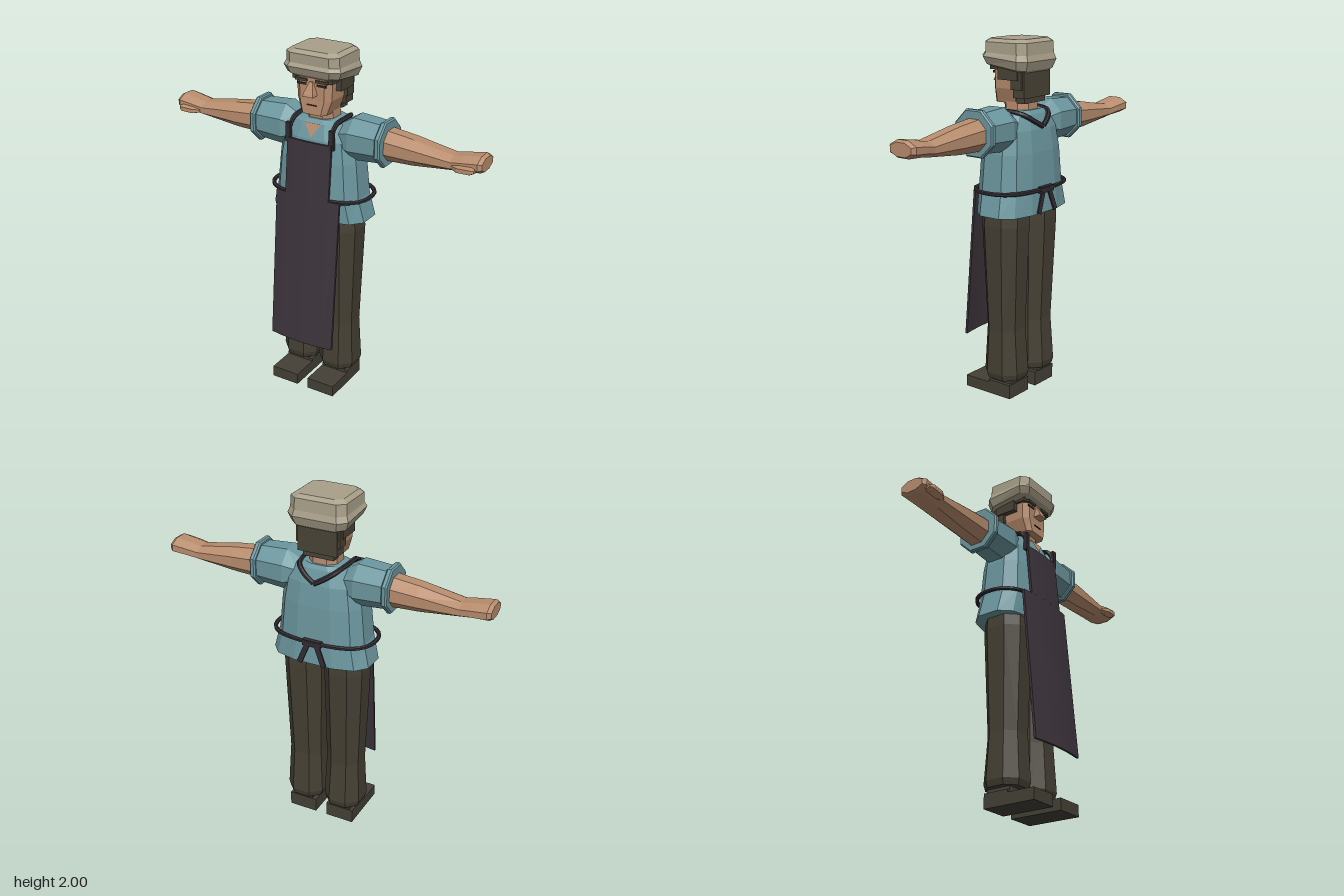
import * as THREE from 'three';

const mat = (name, color) => {
  const m = new THREE.MeshStandardMaterial({ color });
  m.name = name;
  return m;
};

// Faceted normals
function flat(geo) {
  const g = geo.index ? geo.toNonIndexed() : geo;
  g.computeVertexNormals();
  return g;
}

// Copy reflected in x, with the corner order restored
function mirrored(geo) {
  const g = geo.clone().scale(-1, 1, 1);
  const p = g.attributes.position;
  const a = new THREE.Vector3(), b = new THREE.Vector3();
  for (let i = 0; i < p.count; i += 3) {
    a.fromBufferAttribute(p, i);
    b.fromBufferAttribute(p, i + 2);
    p.setXYZ(i, b.x, b.y, b.z);
    p.setXYZ(i + 2, a.x, a.y, a.z);
  }
  g.computeVertexNormals();
  return g;
}

// One cross-section: [along, centre, halfWidth, zFront, zBack, tilt]; power < 1 makes it boxier
function section([t, c, w, zf, zb, tilt = 0], n, power, alongX) {
  const k = Math.cos(Math.PI / n);
  const soft = v => Math.sign(v) * Math.pow(Math.min(1, Math.abs(v) / k), power);
  return Array.from({ length: n }, (_, i) => {
    const a = ((i + 0.5) / n) * Math.PI * 2;
    const u = w * soft(Math.sin(a));
    const z = (zf + zb) / 2 + ((zf - zb) / 2) * soft(Math.cos(a));
    return alongX ? [t, c - u, z] : [c + u, t + tilt * z, z];
  });
}

// Closed skin over a row of cross-sections
function loft(rows, n = 8, power = 1, alongX = false) {
  const pos = rows.flatMap(r => section(r, n, power, alongX).flat());
  const idx = [];
  for (let r = 0; r < rows.length - 1; r++) {
    for (let i = 0; i < n; i++) {
      const j = (i + 1) % n, a = r * n, b = a + n;
      idx.push(a + i, a + j, b + j, a + i, b + j, b + i);
    }
  }
  const top = (rows.length - 1) * n;
  for (let i = 1; i < n - 1; i++) idx.push(0, i + 1, i, top, top + i, top + i + 1);
  const g = new THREE.BufferGeometry();
  g.setAttribute('position', new THREE.Float32BufferAttribute(pos, 3));
  g.setIndex(idx);
  return flat(g);
}

// Box given by its limits
const box = (x0, x1, y0, y1, z0, z1) =>
  flat(new THREE.BoxGeometry(x1 - x0, y1 - y0, z1 - z0).translate((x0 + x1) / 2, (y0 + y1) / 2, (z0 + z1) / 2));

const tube = (pts, r, closed = false, seg = 24) => flat(new THREE.TubeGeometry(
  new THREE.CatmullRomCurve3(pts.map(p => new THREE.Vector3(...p)), closed), seg, r, 6, closed));

// Curved cloth panel leaning from z0 at the bottom to z1 at the top
function panel(halfW, y0, y1, z0, z1) {
  const g = new THREE.BoxGeometry(halfW * 2, y1 - y0, 0.014, 6, 1, 1).translate(0, (y0 + y1) / 2, 0);
  const p = g.attributes.position;
  for (let i = 0; i < p.count; i++) {
    const t = (p.getY(i) - y0) / (y1 - y0), x = p.getX(i);
    p.setZ(i, p.getZ(i) + z0 + (z1 - z0) * t - 0.45 * x * x);
  }
  return flat(g);
}

export function createModel() {
  const root = new THREE.Group();
  root.name = 'apronWorker';
  const skin = mat('skin', 0xb98d6e), shirt = mat('shirt blue', 0x6c979f);
  const trousers = mat('trouser brown', 0x454034), shoes = mat('shoe brown', 0x444036);
  const apron = mat('apron purple', 0x3d343c), strap = mat('strap dark', 0x312b31);
  const cap = mat('cap beige', 0xa9a08a), hair = mat('hair brown', 0x4a4436), dark = mat('eye dark', 0x2a2622);

  const add = (name, geo, material) => {
    const m = new THREE.Mesh(geo, material);
    m.name = name;
    root.add(m);
  };
  const pair = (name, geo, material) => {
    add('left' + name, geo, material);
    add('right' + name, mirrored(geo), material);
  };

  // Legs and shoes
  pair('Leg', loft([
    [0.105, 0.12, 0.102, 0.07, -0.14], [0.14, 0.12, 0.112, 0.08, -0.148], [0.4, 0.12, 0.1, 0.065, -0.13],
    [1.0, 0.125, 0.116, 0.09, -0.155], [1.12, 0.12, 0.11, 0.08, -0.15],
  ], 8, 0.85), trousers);
  add('pelvis', loft([[1.03, 0, 0.12, 0.05, -0.12], [1.09, 0, 0.23, 0.085, -0.16], [1.2, 0, 0.22, 0.08, -0.15]]), trousers);
  pair('Shoe', box(0.035, 0.205, 0, 0.066, -0.12, 0.195), shoes);
  pair('ShoeHeel', box(0.035, 0.205, 0.06, 0.082, -0.12, 0.03), shoes);
  pair('Ankle', box(0.06, 0.185, 0.07, 0.12, -0.115, 0.03), shoes);

  // Shirt
  add('shirtBody', loft([
    [1.065, 0, 0.29, 0.112, -0.21], [1.2, 0, 0.257, 0.12, -0.2], [1.4, 0, 0.238, 0.11, -0.19],
    [1.52, 0, 0.215, 0.095, -0.175], [1.6, 0, 0.16, 0.065, -0.15], [1.622, 0, 0.105, 0.045, -0.135],
  ], 12, 0.7), shirt);
  pair('Sleeve', loft([
    [0.13, 1.53, 0.075, 0.05, -0.13], [0.21, 1.535, 0.118, 0.075, -0.16], [0.39, 1.535, 0.106, 0.065, -0.15],
  ], 8, 1, true), shirt);
  pair('Cuff', loft([
    [0.372, 1.535, 0.118, 0.075, -0.16], [0.38, 1.535, 0.125, 0.083, -0.168],
    [0.398, 1.535, 0.125, 0.083, -0.168], [0.406, 1.535, 0.118, 0.075, -0.16],
  ], 8, 1, true), shirt);

  // Arms and hands
  pair('Arm', loft([
    [0.38, 1.53, 0.085, 0.035, -0.13], [0.55, 1.523, 0.072, 0.035, -0.125], [0.78, 1.515, 0.04, 0.03, -0.12],
    [0.84, 1.525, 0.041, 0.035, -0.128], [0.93, 1.535, 0.045, 0.035, -0.135], [0.95, 1.535, 0.035, 0.02, -0.12],
  ], 8, 1, true), skin);
  pair('Thumb', loft([
    [0.79, 1.51, 0.012, 0.035, 0], [0.83, 1.51, 0.02, 0.06, 0], [0.9, 1.513, 0.02, 0.062, 0.01], [0.92, 1.515, 0.012, 0.05, 0.015],
  ], 6, 1, true), skin);

  // Neck and open collar
  add('neck', loft([[1.55, 0, 0.085, 0.03, -0.125], [1.69, 0, 0.08, 0.045, -0.12]], 8, 0.8), skin);
  const vNeck = new THREE.BufferGeometry();
  vNeck.setAttribute('position', new THREE.Float32BufferAttribute(
    [0, 1.53, 0.097, 0.05, 1.602, 0.071, -0.05, 1.602, 0.071], 3));
  add('openCollar', flat(vNeck), skin);

  // Head
  add('head', loft([
    [1.655, 0, 0.078, 0.085, -0.09], [1.735, 0, 0.105, 0.08, -0.11], [1.88, 0, 0.11, 0.08, -0.12],
  ], 8, 0.4), skin);
  add('nose', loft([
    [1.762, 0, 0.032, 0.125, 0.06], [1.775, 0, 0.03, 0.12, 0.06], [1.835, 0, 0.01, 0.09, 0.06],
  ], 4), skin);
  pair('Eye', box(0.032, 0.085, 1.812, 1.824, 0.076, 0.084), dark);
  pair('Eyebrow', box(0.026, 0.098, 1.834, 1.848, 0.072, 0.092), hair);
  add('mouth', box(-0.03, 0.03, 1.704, 1.709, 0.08, 0.087), dark);

  // Hair in stepped blocks
  add('backHair', box(-0.115, 0.115, 1.69, 1.86, -0.15, -0.075), hair);
  add('nape', box(-0.09, 0.09, 1.66, 1.7, -0.135, -0.08), hair);
  pair('SideHair', box(0.09, 0.128, 1.735, 1.86, -0.14, -0.07), hair);
  pair('Sideburn', box(0.09, 0.137, 1.785, 1.87, -0.12, 0.012), hair);
  pair('Temple', box(0.09, 0.122, 1.835, 1.87, 0, 0.075), hair);

  // Flat cap
  add('cap', loft([
    [1.845, 0, 0.13, 0.085, -0.15, 0.13], [1.858, 0, 0.158, 0.105, -0.165, 0.13],
    [1.9, 0, 0.175, 0.12, -0.182, 0.08], [1.925, 0, 0.163, 0.108, -0.172, 0.04],
    [1.982, 0, 0.16, 0.11, -0.168], [2.0, 0, 0.135, 0.085, -0.145],
  ], 8, 0.35), cap);

  // Apron, neck straps, belt and back tie
  add('apronSkirt', panel(0.2, 0.32, 1.2, 0.217, 0.141), apron);
  add('apronBib', panel(0.137, 1.2, 1.51, 0.141, 0.113), apron);
  pair('NeckStrap', tube([
    [0.132, 1.485, 0.105], [0.132, 1.57, 0.09], [0.13, 1.61, 0.055], [0.13, 1.618, -0.05],
    [0.11, 1.605, -0.14], [0.06, 1.57, -0.175], [0, 1.535, -0.19],
  ], 0.014), strap);
  pair('StrapTab', box(0.12, 0.148, 1.485, 1.595, 0.09, 0.112), strap);
  add('belt', tube(section([1.198, 0, 0.285, 0.13, -0.21], 12, 0.75, false), 0.012, true, 48), strap);
  add('beltKnot', box(-0.055, 0.055, 1.178, 1.212, -0.226, -0.2), strap);
  const tie = new THREE.BoxGeometry(0.03, 0.13, 0.008).rotateZ(0.38).rotateX(0.06).translate(0.05, 1.13, -0.219);
  pair('TieEnd', flat(tie), strap);

  return root;
}
